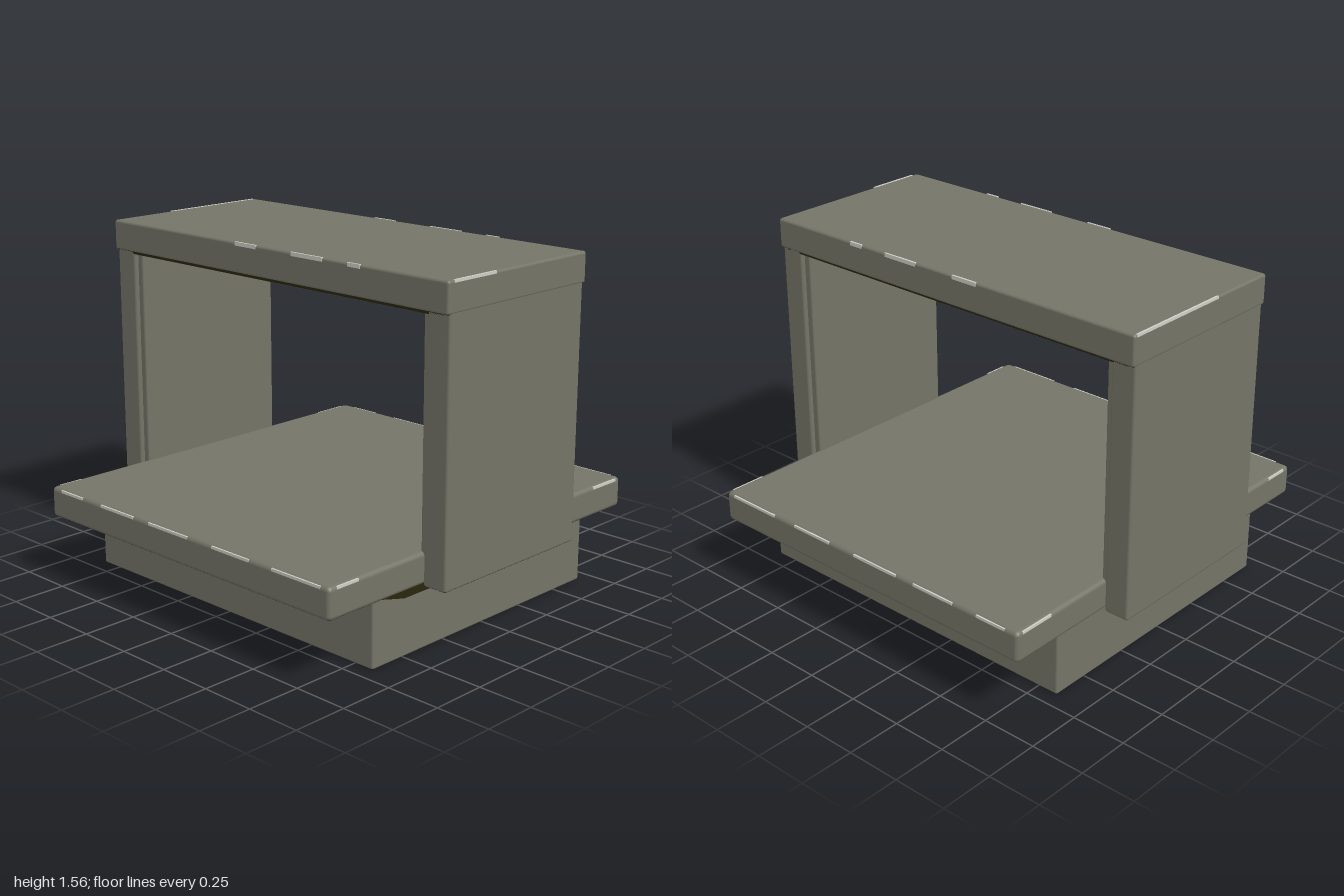
import * as THREE from 'three';
import { RoundedBoxGeometry } from 'three/addons/geometries/RoundedBoxGeometry.js';

export function createModel() {
  const model = new THREE.Group();
  model.name = 'framedPedestal';
  const material = (name, color) => {
    const m = new THREE.MeshStandardMaterial({ color });
    m.name = name;
    return m;
  };
  const stone = material('olive grey stone', 0x757467);
  const dark = material('dark olive', 0x29260e);
  const pale = material('pale worn edge', 0xcfcfc6);

  // Face order: left, right, top, underside, front, back
  const darkBelow = [stone, stone, stone, dark, stone, stone];
  const darkSides = [dark, dark, stone, stone, stone, stone];

  // Block given by its lower and upper corners; a radius of 0 leaves it sharp
  function block(name, [x0, y0, z0], [x1, y1, z1], radius, paint) {
    const size = [x1 - x0, y1 - y0, z1 - z0];
    const geometry = radius
      ? new RoundedBoxGeometry(...size, 2, radius)
      : new THREE.BoxGeometry(...size);
    const mesh = new THREE.Mesh(geometry, paint);
    mesh.name = name;
    mesh.position.set((x0 + x1) / 2, (y0 + y1) / 2, (z0 + z1) / 2);
    model.add(mesh);
  }

  // Plinth and the wide slab resting on it
  block('plinth', [-0.68, 0, -0.85], [0.68, 0.31, 0.85], 0.01, darkBelow);
  block('slab', [-0.945, 0.29, -0.87], [0.945, 0.43, 0.87], 0.02, darkBelow);

  // Dark seam below the slab: tapered at the front, narrow along the sides
  const seam = new THREE.Shape([[-0.64, 0.29], [-0.5, 0.255], [0.4, 0.25], [0.63, 0.29]]
    .map(([x, y]) => new THREE.Vector2(x, y)));
  const frontSeam = new THREE.Mesh(
    new THREE.ExtrudeGeometry(seam, { depth: 0.004, bevelEnabled: false }), dark);
  frontSeam.name = 'frontSeam';
  frontSeam.position.z = 0.849;
  model.add(frontSeam);
  for (const x of [-0.68, 0.68]) {
    block('sideSeam', [x - 0.003, 0.276, -0.82], [x + 0.003, 0.292, 0.55], 0, dark);
  }

  // End walls, each with a slightly narrower inner lining
  for (const side of [1, -1]) {
    const end = side > 0 ? 'front' : 'back';
    const span = (a, b) => [Math.min(a * side, b * side), Math.max(a * side, b * side)];
    const [w0, w1] = span(0.88, 0.998);
    block(end + 'Wall', [-0.42, 0.29, w0], [0.42, 1.45, w1], 0.012, darkBelow);
    const [l0, l1] = span(0.848, 0.9);
    block(end + 'Lining', [-0.4, 0.3, l0], [0.4, 1.45, l1], 0.01, stone);
  }

  // Lintel across the top with a thin inset soffit
  block('lintel', [-0.435, 1.42, -1], [0.435, 1.555, 1], 0.012, darkBelow);
  block('soffit', [-0.42, 1.407, -0.97], [0.42, 1.45, 0.97], 0.006, darkSides);

  // Pale wear running along z on the side edges, and along x on the end edges
  function sideWear(x, top, runs) {
    for (const s of [-1, 1]) {
      const [x0, x1] = s > 0 ? [x - 0.008, x + 0.001] : [-x - 0.001, -x + 0.008];
      for (const [z0, z1] of runs) {
        block('edgeWear', [x0, top - 0.016, z0], [x1, top + 0.001, z1], 0, pale);
      }
    }
  }
  function endWear(z, top, runs) {
    const [z0, z1] = z > 0 ? [z - 0.008, z + 0.001] : [z - 0.001, z + 0.008];
    for (const [x0, x1] of runs) {
      block('edgeWear', [x0, top - 0.011, z0], [x1, top + 0.001, z1], 0, pale);
    }
  }
  sideWear(0.435, 1.555, [[0.47, 0.54], [0.15, 0.33], [-0.19, -0.06]]);
  sideWear(0.943, 0.425, [[0.55, 0.82], [0.2, 0.42], [-0.2, 0.05], [-0.52, -0.3], [-0.8, -0.65]]);
  endWear(1, 1.555, [[-0.4, -0.15]]);
  endWear(-1, 1.555, [[-0.1, 0.42]]);
  for (const z of [-0.868, 0.868]) endWear(z, 0.425, [[-0.9, -0.78], [0.74, 0.91]]);

  return model;
}
